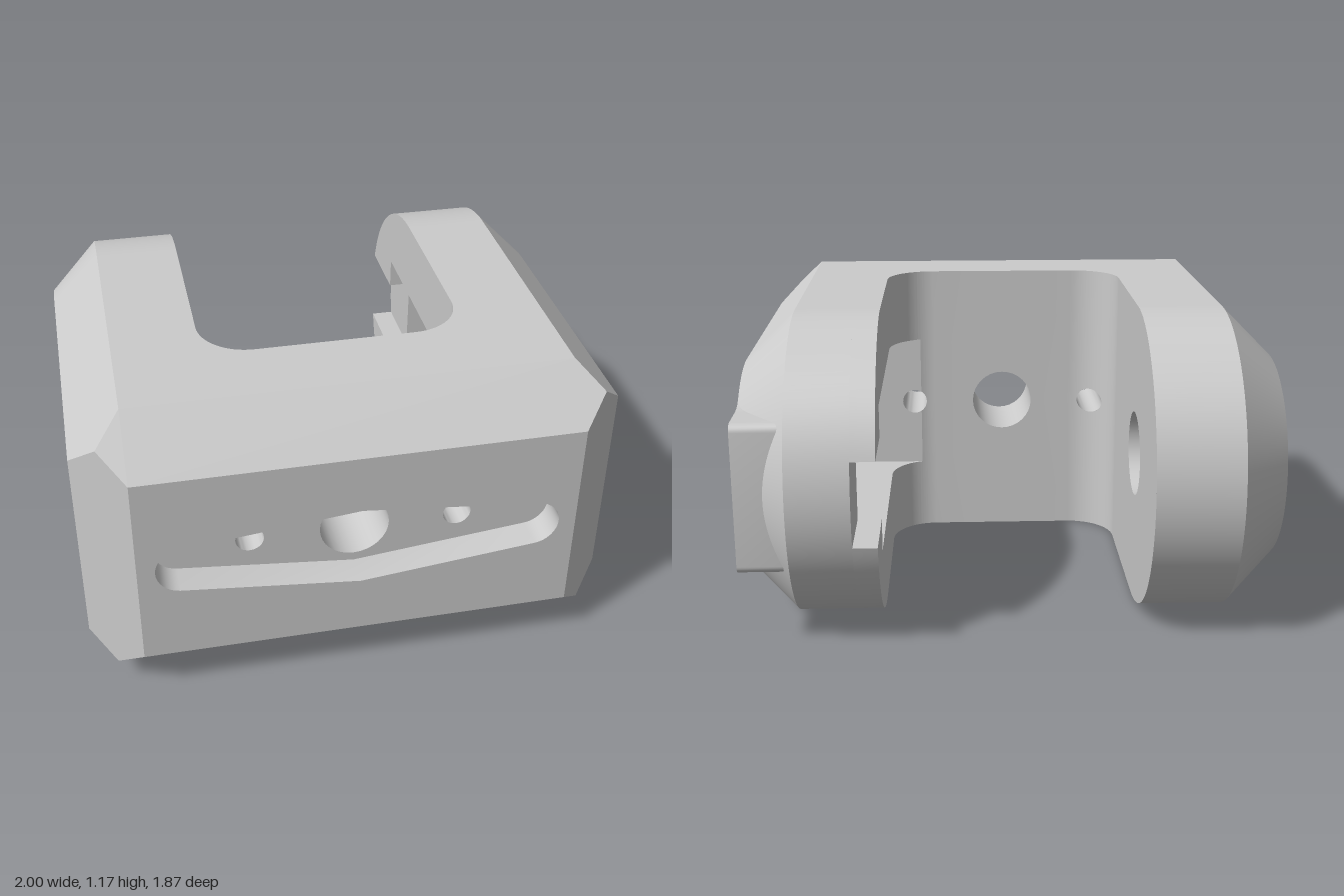
import * as THREE from 'three';
import { toCreasedNormals } from 'three/addons/utils/BufferGeometryUtils.js';

// Main dimensions (y measured from the mid height while building)
const H = 0.585, C = 0.19, IN = 0.49, WALL = 0.46, FRONT = 0.93, AXIS = -0.35;
const POCKET = 0.81, WIN = 0.283, WIN_F = 0.45, WIN_B = -0.62, WIN_X = 0.361;
const SLOT = 0.16, SLOT_X = 0.58, BOLT = 0.053;

export function createModel() {
  const model = new THREE.Group();
  const body = new THREE.Group();
  body.name = 'bracket';
  body.position.y = H;
  model.add(body);
  const mat = new THREE.MeshStandardMaterial({ color: 0xcccccc, side: THREE.DoubleSide });

  const add = (name, geo) => {
    const mesh = new THREE.Mesh(geo, mat);
    mesh.name = name;
    body.add(mesh);
  };
  // Ruled surface between two equally long lists of [x, y, z]
  const strip = (name, a, b) => {
    const g = new THREE.BufferGeometry(), idx = [];
    g.setAttribute('position', new THREE.Float32BufferAttribute([...a, ...b].flat(), 3));
    const n = a.length;
    for (let i = 0; i < n - 1; i++) idx.push(i, i + 1, n + i, i + 1, n + i + 1, n + i);
    g.setIndex(idx);
    add(name, toCreasedNormals(g, 0.5));
  };
  // Flat face: 2D outline with holes, placed in space by a mapping
  const face = (name, pts, map, holes = []) => {
    const v = (l) => l.map(([x, y]) => new THREE.Vector2(x, y));
    const s = new THREE.Shape(v(pts));
    s.holes = holes.map((h) => new THREE.Path(v(h)));
    const g = new THREE.ShapeGeometry(s), p = g.attributes.position;
    for (let i = 0; i < p.count; i++) p.setXYZ(i, ...map(p.getX(i), p.getY(i)));
    g.computeVertexNormals();
    add(name, g);
  };
  // Flat convex polygon in space
  const poly = (name, pts) => {
    const g = new THREE.BufferGeometry(), idx = [];
    g.setAttribute('position', new THREE.Float32BufferAttribute(pts.flat(), 3));
    for (let i = 1; i < pts.length - 1; i++) idx.push(0, i, i + 1);
    g.setIndex(idx);
    g.computeVertexNormals();
    add(name, g);
  };
  const arc = (cx, cy, r, a0, a1, n = 32) => Array.from({ length: n + 1 }, (_, i) => {
    const a = a0 + (a1 - a0) * i / n;
    return [cx + r * Math.cos(a), cy + r * Math.sin(a)];
  });
  const circle = (cx, cy, r) => arc(cx, cy, r, 0, Math.PI * 2, 32).slice(0, -1);
  const close = (l) => [...l, l[0]];
  const PI = Math.PI, Q = PI / 2;

  // Front face with the long diamond pocket
  const xe = 1 - C, ye = H - C, ze = FRONT - C, m = C / 2;
  const pocket = [[0, 0.165], ...arc(0.65, 0, 0.095, 1.47, -1.47, 16),
    [0, -0.165], ...arc(-0.65, 0, 0.095, -1.67, -4.61, 16)];
  const holes = [[-0.39, BOLT], [0, 0.13], [0.39, BOLT]];
  face('frontFace', [[-xe, -ye], [xe, -ye], [xe, ye], [-xe, ye]], (x, y) => [x, y, FRONT], [pocket]);
  strip('pocketWall', close(pocket).map(([x, y]) => [x, y, FRONT]), close(pocket).map(([x, y]) => [x, y, POCKET]));
  face('pocketFloor', pocket, (x, y) => [x, y, POCKET], holes.map(([x, r]) => circle(x, 0, r)));

  // Inner front wall with filleted corners, cut by the holes and the side window
  const wallZ = (x) => {
    const d = Math.max(0, Math.abs(x) - 0.3);
    return 0.27 + Math.sqrt(Math.max(0, C * C - d * d));
  };
  const cut = (x) => x > WIN_X ? WIN
    : Math.max(...holes.map(([c, r]) => Math.sqrt(Math.max(0, r * r - (x - c) ** 2))));
  const xs = [WIN_X, WIN_X + 1e-4];
  for (let i = 0; i <= 16; i++) {
    const d = 0.3 + C * Math.sin(Q * i / 16);
    xs.push(d, -d);
    holes.forEach(([c, r]) => xs.push(c + r * Math.cos(PI * i / 16)));
  }
  xs.sort((a, b) => a - b);
  for (const s of [1, -1])
    strip('innerFrontWall', xs.map((x) => [x, s * cut(x), wallZ(x)]), xs.map((x) => [x, s * H, wallZ(x)]));
  for (const [c, r] of holes) {
    const ring = close(circle(c, 0, r));
    strip('frontHole', ring.map(([x, y]) => [x, y, POCKET]),
      ring.map(([x, y]) => [x, y, x > WIN_X ? WIN_F : wallZ(x)]));
  }

  // Top and bottom, with their front chamfers
  const plan = [[-xe, AXIS], [-IN, AXIS], ...arc(-0.3, 0.27, C, PI, Q, 16),
    ...arc(0.3, 0.27, C, Q, 0, 16), [IN, AXIS], [xe, AXIS], [xe, ze], [-xe, ze]];
  for (const t of [1, -1]) {
    face(t > 0 ? 'top' : 'bottom', plan, (x, z) => [x, t * H, z]);
    poly('frontChamfer', [[-xe, t * ye, FRONT], [xe, t * ye, FRONT], [1 - m, t * (H - m), FRONT - m],
      [xe, t * H, ze], [-xe, t * H, ze], [m - 1, t * (H - m), FRONT - m]]);
  }

  // Chamfers along each side and the rounded arm ends
  const angles = Array.from({ length: 97 }, (_, i) => -Q + PI * i / 96);
  const polar = (x, r, a) => [x, r * Math.sin(a), AXIS - r * Math.cos(a)];
  for (const s of [1, -1]) {
    poly('cornerChamfer', [[s * xe, -ye, FRONT], [s * (1 - m), m - H, FRONT - m], [s, -ye, ze],
      [s, ye, ze], [s * (1 - m), H - m, FRONT - m], [s * xe, ye, FRONT]]);
    for (const t of [1, -1])
      poly('sideChamfer', [[s * xe, t * H, ze], [s * (1 - m), t * (H - m), FRONT - m], [s, t * ye, ze],
        [s, t * ye, AXIS], [s * xe, t * H, AXIS]]);
    // the cone starts at the lug outline on the left arm
    const inner = (a) => s < 0 ? ye
      : Math.max(ye, 0.98 * Math.min(0.5 / Math.max(Math.cos(a), 1e-6), 0.28 / Math.max(Math.abs(Math.sin(a)), 1e-6)));
    strip('armEndCone', angles.map((a) => polar(s * (1 - inner(a) + ye), inner(a), a)),
      angles.map((a) => polar(s * xe, H, a)));
    const x0 = s > 0 ? SLOT_X : -IN;
    strip('armEnd', angles.map((a) => polar(x0, H, a)), angles.map((a) => polar(s * xe, H, a)));
  }

  // Right arm: plain faces with a pivot hole
  const stadium = (front, r) => [[front, -r], [front, r], ...arc(AXIS, 0, r, Q, 3 * Q, 64)];
  const pivot = circle(AXIS, 0, 0.165);
  face('rightArmInner', stadium(0.27, H), (z, y) => [-IN, y, z], [pivot]);
  face('rightArmOuter', stadium(ze, ye), (z, y) => [-1, y, z], [pivot]);
  strip('pivotHole', close(pivot).map(([z, y]) => [-IN, y, z]), close(pivot).map(([z, y]) => [-1, y, z]));

  // Left arm: outer face runs into a square lug at the rear
  const lug = [...new THREE.QuadraticBezierCurve(new THREE.Vector2(-0.604, 0.303),
    new THREE.Vector2(-0.635, 0.28), new THREE.Vector2(-0.69, 0.28)).getPoints(8).map((p) => [p.x, p.y]),
  ...arc(-0.82, 0.25, 0.03, Q, PI, 6)];
  const flip = (l) => l.map(([z, y]) => [z, -y]).reverse();
  const half = [[ze, ye], ...arc(AXIS, 0, ye, Q, Q + 0.698, 20).slice(0, -1), ...lug];
  const bolts = [0.54, -0.73].map((z) => circle(z, 0, 0.048));
  const windowHole = [[WIN_F, -WIN], [WIN_F, WIN], [WIN_B, WIN], [WIN_B, -WIN]];
  // the window stays a hair inside the outline where it meets the lug fairing
  face('leftArmOuter', [...half, ...flip(half)], (z, y) => [1, y, z],
    [windowHole.map(([z, y]) => [z, y * 0.985]), ...bolts]);
  const lugRim = [...lug, ...flip(lug)];
  strip('lugWall', lugRim.map(([z, y]) => [1, y, z]), lugRim.map(([z, y]) => [0.8, y, z]));
  for (const b of bolts) {
    strip('boltHole', close(b).map(([z, y]) => [1, y, z]), close(b).map(([z, y]) => [0.82, y, z]));
    face('boltHoleFloor', b, (z, y) => [0.82, y, z]);
  }

  // Window tunnel through the left arm
  const bite = Math.acos((WIN_X - 0.39) / BOLT);
  face('windowFrontWall', [[WIN_X, -WIN], [1, -WIN], [1, WIN], [WIN_X, WIN],
    ...arc(0.39, 0, BOLT, bite, -bite, 20)], (x, y) => [x, y, WIN_F]);
  face('windowRearWall', [[IN, -WIN], [1, -WIN], [1, WIN], [IN, WIN], [IN, SLOT], [SLOT_X, SLOT],
    [SLOT_X, -SLOT], [IN, -SLOT]], (x, y) => [x, y, WIN_B]);
  const zs = [WIN_B, ...Array.from({ length: 13 }, (_, i) => 0.27 + (WIN_F - 0.27) * i / 12)];
  const filletX = (z) => z <= 0.27 ? IN : 0.3 + Math.sqrt(C * C - (z - 0.27) ** 2);

  // Inner face of the left arm, split by the window and the rear cable slot
  const slotA = Math.asin(SLOT / H), slotZ = AXIS - H * Math.cos(slotA);
  for (const t of [1, -1]) {
    strip('windowSide', zs.map((z) => [filletX(z), t * WIN, z]), zs.map((z) => [1, t * WIN, z]));
    const rim = arc(AXIS, 0, H, Q, PI - slotA, 40);
    face('leftArmInner', [[0.27, H], ...rim, [WIN_B, SLOT], [WIN_B, WIN], [0.27, WIN]],
      (z, y) => [IN, t * y, z]);
    strip('armEndLip', rim.map(([z, y]) => [IN, t * y, z]), rim.map(([z, y]) => [SLOT_X, t * y, z]));
    poly('slotSide', [[IN, t * SLOT, WIN_B], [SLOT_X, t * SLOT, WIN_B], [SLOT_X, t * SLOT, slotZ], [IN, t * SLOT, slotZ]]);
  }
  face('slotFloor', [[WIN_B, -SLOT], [WIN_B, SLOT], ...arc(AXIS, 0, H, PI - slotA, PI + slotA, 16)],
    (z, y) => [SLOT_X, y, z]);
  return model;
}
